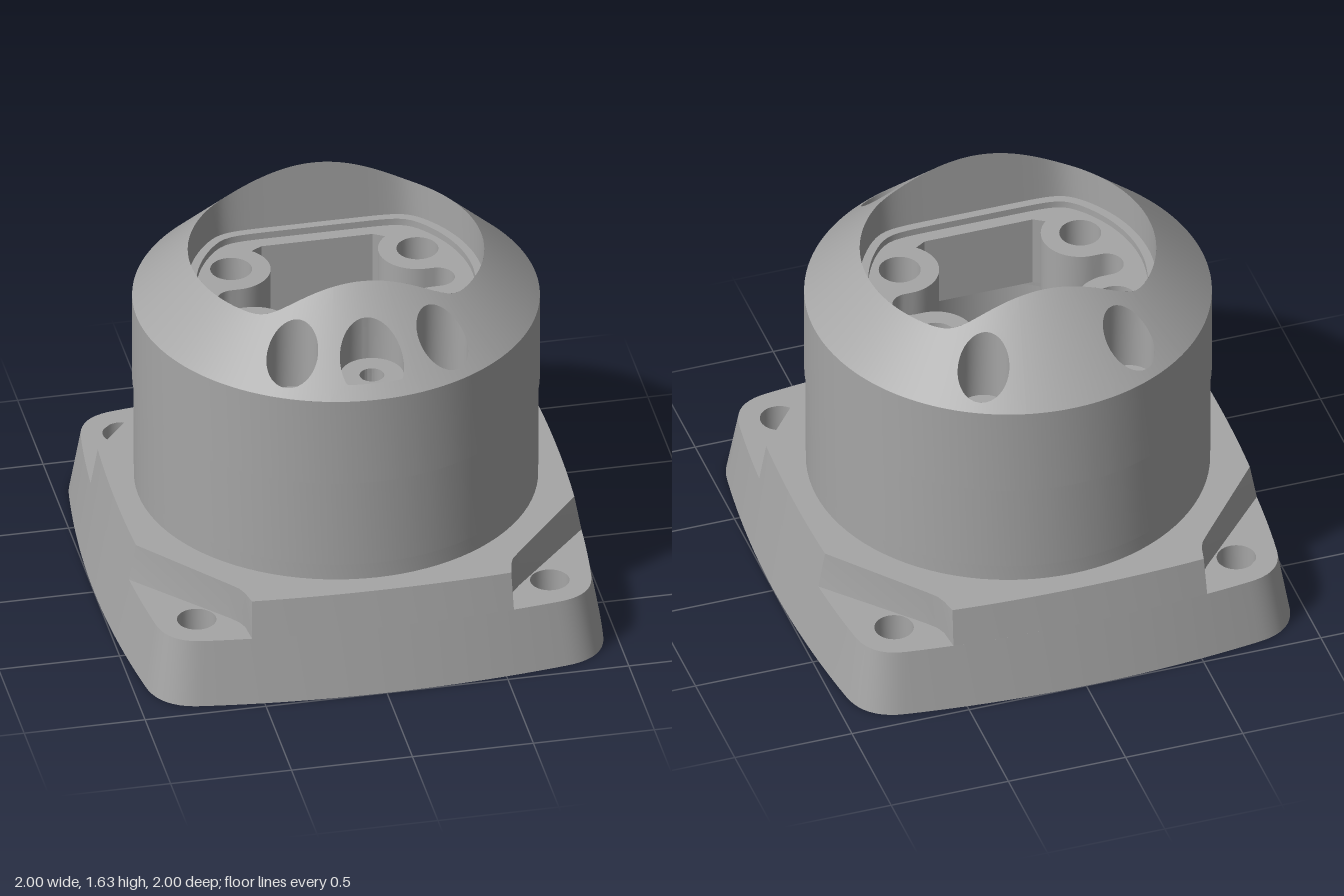
import * as THREE from 'three';
import { toCreasedNormals } from 'three/addons/utils/BufferGeometryUtils.js';

const PI = Math.PI, DEG = PI / 180;
const CONE_R = 0.825, CONE_Y = 1.29;
const coneY = (r) => CONE_Y + (CONE_R - r) * 0.958;
const range = (n, f) => Array.from({ length: n + 1 }, (_, i) => f(i / n));
const arc = (cx, cz, r, a, b, n = 16) =>
  range(n, (t) => [cx + r * Math.cos((a + (b - a) * t) * DEG), cz + r * Math.sin((a + (b - a) * t) * DEG)]);
const circle = (cx, cz, r, n = 40) => arc(cx, cz, r, 0, 360, n).slice(0, -1);

// Completes a quarter outline, running from the z axis to the x axis, by mirroring
function mirror4(q) {
  const half = [...q, ...q.slice(0, -1).reverse().map(([x, z]) => [x, -z])];
  return [...half, ...half.slice(1, -1).reverse().map(([x, z]) => [-x, z])];
}
const corners = (x, z, f) => [[1, 1], [1, -1], [-1, 1], [-1, -1]].map(([a, b]) => f(x * a, z * b));

// Upright slab from an xz outline with holes
function slab(outline, holes, y0, y1) {
  const v = (l) => l.map(([x, z]) => new THREE.Vector2(x, z));
  const shape = new THREE.Shape(v(outline));
  shape.holes = holes.map((h) => new THREE.Path(v(h)));
  return new THREE.ExtrudeGeometry(shape, { depth: y1 - y0, bevelEnabled: false })
    .rotateX(PI / 2).translate(0, y1, 0);
}

// Leans the outer sides of the base inwards
function taper(geo) {
  const p = geo.attributes.position;
  for (let i = 0; i < p.count; i++) {
    const x = p.getX(i), y = p.getY(i), z = p.getZ(i);
    if (Math.max(Math.abs(x), Math.abs(z)) < 0.83) continue;
    p.setX(i, x - 0.19 * y * x ** 3);
    p.setZ(i, z - 0.19 * y * z ** 3);
  }
  return geo;
}

// Surface through rows of points
function loft(rows) {
  const n = rows[0].length, index = [];
  for (let i = 0; i < rows.length - 1; i++) {
    for (let j = 0; j < n - 1; j++) {
      const a = i * n + j, b = a + n;
      index.push(a, b, a + 1, b, b + 1, a + 1);
    }
  }
  const geo = new THREE.BufferGeometry();
  geo.setAttribute('position', new THREE.Float32BufferAttribute(rows.flat(2), 3));
  geo.setIndex(index);
  return geo;
}

// Recess outline: a circle flattened at front and back; angle is taken from +z
const recessR = (th, inset = 0) => {
  const a = 0.6 - inset, b = (0.465 - inset) / Math.max(Math.abs(Math.cos(th)), 1e-4);
  return (a ** -24 + b ** -24) ** (-1 / 24);
};
const recessLoop = (inset) => range(128, (t) => {
  const r = recessR(t * 2 * PI, inset);
  return [r * Math.sin(t * 2 * PI), r * Math.cos(t * 2 * PI)];
}).slice(0, -1);

// Point of the cone at an angle, t = 0 at the recess rim and 1 at the outer edge
function conePoint([th, t]) {
  const ri = recessR(th), r = ri + (CONE_R - ri) * t;
  return [r * Math.sin(th), coneY(r), r * Math.cos(th)];
}

export function createModel() {
  const model = new THREE.Group();
  const grey = new THREE.MeshStandardMaterial({ color: 0xa6a6a6, side: THREE.DoubleSide });
  grey.name = 'grey';
  const add = (name, geo, crease = 0.5) => {
    const mesh = new THREE.Mesh(toCreasedNormals(geo, crease), grey);
    mesh.name = name;
    model.add(mesh);
  };

  // Base plate with bulging sides, bolt holes and the main bore
  const edge = (x) => 1 - 0.095 * x * x;
  const side = range(12, (t) => [0.75 * t, edge(0.75 * t)]);
  const round = range(10, (t) => {
    const e = edge(0.75), c = 0.925;
    const q = (a, b) => a * (1 - t) ** 2 + 2 * c * t * (1 - t) + b * t * t;
    return [q(0.75, e), q(e, 0.75)];
  }).slice(1, -1);
  const flip = (l) => l.map(([x, z]) => [z, x]).reverse();
  const bore = circle(0, 0, 0.465, 72);
  add('basePlate', taper(slab(mirror4([...side, ...round, ...flip(side)]),
    [bore, ...corners(0.73, 0.73, (x, z) => circle(x, z, 0.08))], 0, 0.28)));

  // Raised part of the base, cut away around the bolt holes
  const raised = mirror4([
    ...range(8, (t) => [0.55 * t, edge(0.55 * t)]),
    [0.55, 0.829], [0.565, 0.79], [0.6, 0.745],
    ...flip(range(8, (t) => [0.38 * t, edge(0.38 * t)])),
  ]);
  add('baseTop', taper(slab(raised, [bore], 0.28, 0.44)));

  // Cylindrical body and stepped bore
  const lathe = (pts) => new THREE.LatheGeometry(pts.map(([r, y]) => new THREE.Vector2(r, y)), 96);
  add('bodyWall', lathe([[0.818, 0.44], [0.818, 0.51], [0.82, 0.511], [0.82, 0.9], [0.825, 0.9], [CONE_R, CONE_Y]]));
  add('boreWall', lathe([[0.42, 1.0], [0.42, 0.47], [0.465, 0.47], [0.465, 0.44]]));

  // Conical shoulder, in plain sectors and sectors pierced by a pocket
  const plain = (a, b, n) => loft(range(6, (t) => range(n, (s) => conePoint([(a + (b - a) * s) * DEG, t]))));
  add('shoulder', plain(40, 140, 40));
  add('shoulder', plain(220, 320, 40));
  add('shoulder', plain(166.7, 193.3, 12));

  function pocketSector(a, b, cx, cz, radius, floorY, screwR, maxR) {
    const th0 = a * DEG, th1 = b * DEG, mix = (s) => th0 + (th1 - th0) * s;
    const border = [
      ...range(12, (s) => [mix(s), 0]).slice(1), ...range(12, (s) => [th1, s]).slice(1),
      ...range(12, (s) => [mix(1 - s), 1]).slice(1), ...range(12, (s) => [th0, 1 - s]).slice(1),
    ];
    border.push(border[0]);
    const dirs = border.map((p) => {
      const [x, , z] = conePoint(p), l = Math.hypot(x - cx, z - cz);
      return [(x - cx) / l, (z - cz) / l];
    });
    const rim = dirs.map(([dx, dz]) => {
      let l = radius;
      while (Math.hypot(cx + dx * l, cz + dz * l) > maxR) l -= 0.0005;
      return [cx + dx * l, cz + dz * l];
    });
    const inner = rim.map(([x, z]) => {
      let th = Math.atan2(x, z);
      if (th < th0 - PI) th += 2 * PI;
      const ri = recessR(th);
      return [th, (Math.hypot(x, z) - ri) / (CONE_R - ri)];
    });
    add('shoulder', loft(range(5, (k) => border.map((p, i) =>
      conePoint([p[0] + (inner[i][0] - p[0]) * k, p[1] + (inner[i][1] - p[1]) * k])))));
    // Pocket wall, floor and screw hole
    const ring = (r, y) => dirs.map(([dx, dz]) => [cx + dx * r, y, cz + dz * r]);
    add('screwPocket', loft([
      rim.map(([x, z]) => [x, coneY(Math.hypot(x, z)), z]),
      rim.map(([x, z]) => [x, floorY, z]),
      ring(screwR, floorY), ring(screwR, floorY - 0.1), ring(0, floorY - 0.1),
    ]));
  }
  pocketSector(-13.3, 13.3, 0, 0.705, 0.13, 1.335, 0.05, 0.775);
  pocketSector(13.3, 40, 0.31, 0.615, 0.105, 1.2, 0.053, 1);
  pocketSector(-40, -13.3, -0.31, 0.615, 0.105, 1.2, 0.053, 1);
  pocketSector(140, 166.7, 0.31, -0.615, 0.105, 1.2, 0.053, 1);
  pocketSector(193.3, 220, -0.31, -0.615, 0.105, 1.2, 0.053, 1);

  // Recess wall, its ledge and the floor plate with four screw bosses
  const loop = recessLoop(0);
  const closed = [...loop, loop[0]];
  add('recessWall', loft([
    closed.map(([x, z]) => [x, coneY(Math.hypot(x, z)), z]),
    closed.map(([x, z]) => [x, 1.35, z]),
  ]));
  add('recessLedge', slab(loop, [recessLoop(0.035)], 1.32, 1.35));
  const opening = mirror4([
    [0, 0.375], [0.23, 0.375], [0.255, 0.36],
    ...arc(0.385, 0.23, 0.16, 133, 270, 24),
    ...arc(0.42, 0, 0.07, 90, 0, 10),
  ]);
  add('recessFloor', slab(loop,
    [opening, ...corners(0.385, 0.23, (x, z) => circle(x, z, 0.085))], 1.0, 1.32));

  return model;
}
